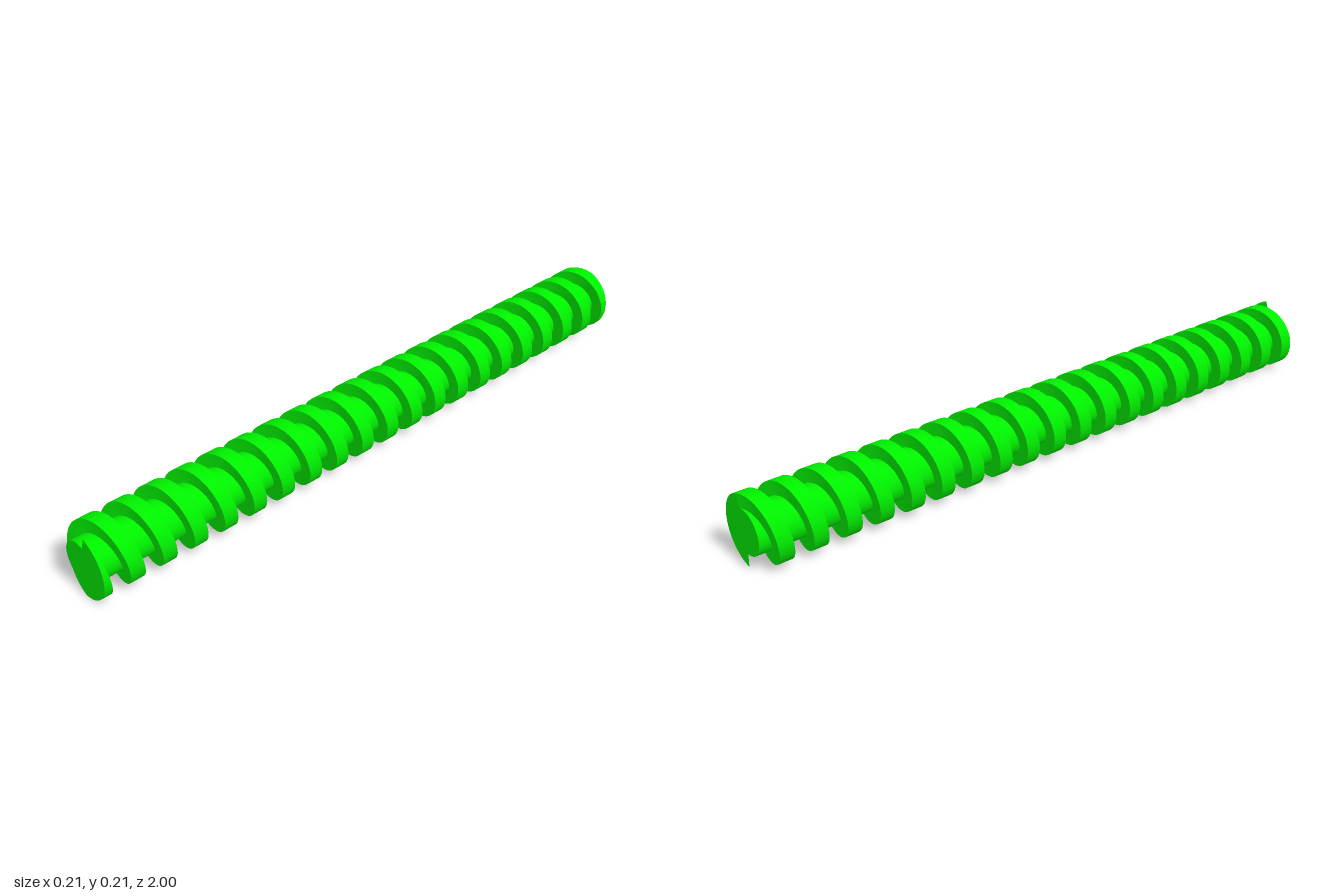
import * as THREE from 'three';

const CORE = 0.065, CREST = 0.105, PITCH = 0.1, HALF = 1, TURNS = 20;
const STEP = 3;                // degrees per segment
const START = -87, END = 72;   // angles where the front and back flanks reach the front end

const material = new THREE.MeshStandardMaterial({ color: 0x00f000 });

// Height along the axis of a flank that reaches the front end at angle "at"
const flankZ = (deg, at) =>
  THREE.MathUtils.clamp(HALF + ((deg - at) / 360) * PITCH, -HALF, HALF);
const frontZ = (deg) => flankZ(deg, START);
const backZ = (deg) => flankZ(deg, END);

// Helical ribbon between two edges, each given by a radius and a height rule
function ribbon(name, radiusA, zA, radiusB, zB) {
  const first = START - 360 * TURNS;
  const count = (END - first) / STEP;
  const positions = [], index = [];
  for (let i = 0; i <= count; i++) {
    const deg = first + i * STEP;
    const angle = THREE.MathUtils.degToRad(deg);
    const c = Math.cos(angle), s = Math.sin(angle);
    positions.push(radiusA * c, radiusA * s, zA(deg), radiusB * c, radiusB * s, zB(deg));
    if (i < count) {
      const a = 2 * i;
      index.push(a, a + 1, a + 3, a, a + 3, a + 2);
    }
  }
  const geometry = new THREE.BufferGeometry();
  geometry.setAttribute('position', new THREE.Float32BufferAttribute(positions, 3));
  geometry.setIndex(index);
  geometry.computeVertexNormals();
  const mesh = new THREE.Mesh(geometry, material);
  mesh.name = name;
  return mesh;
}

export function createModel() {
  const model = new THREE.Group();
  model.name = 'wormScrew';

  // Solid shaft along z
  const shaftGeometry = new THREE.CylinderGeometry(CORE, CORE, 2 * HALF, 360 / STEP);
  shaftGeometry.rotateX(Math.PI / 2);
  const shaft = new THREE.Mesh(shaftGeometry, material);
  shaft.name = 'shaft';

  // Square right-handed thread, cut flat at both ends
  const thread = new THREE.Group();
  thread.name = 'thread';
  thread.add(
    ribbon('threadCrest', CREST, frontZ, CREST, backZ),
    ribbon('threadFrontFlank', CORE, frontZ, CREST, frontZ),
    ribbon('threadBackFlank', CREST, backZ, CORE, backZ)
  );

  model.add(shaft, thread);
  shaft.position.y = thread.position.y = CREST;
  return model;
}
